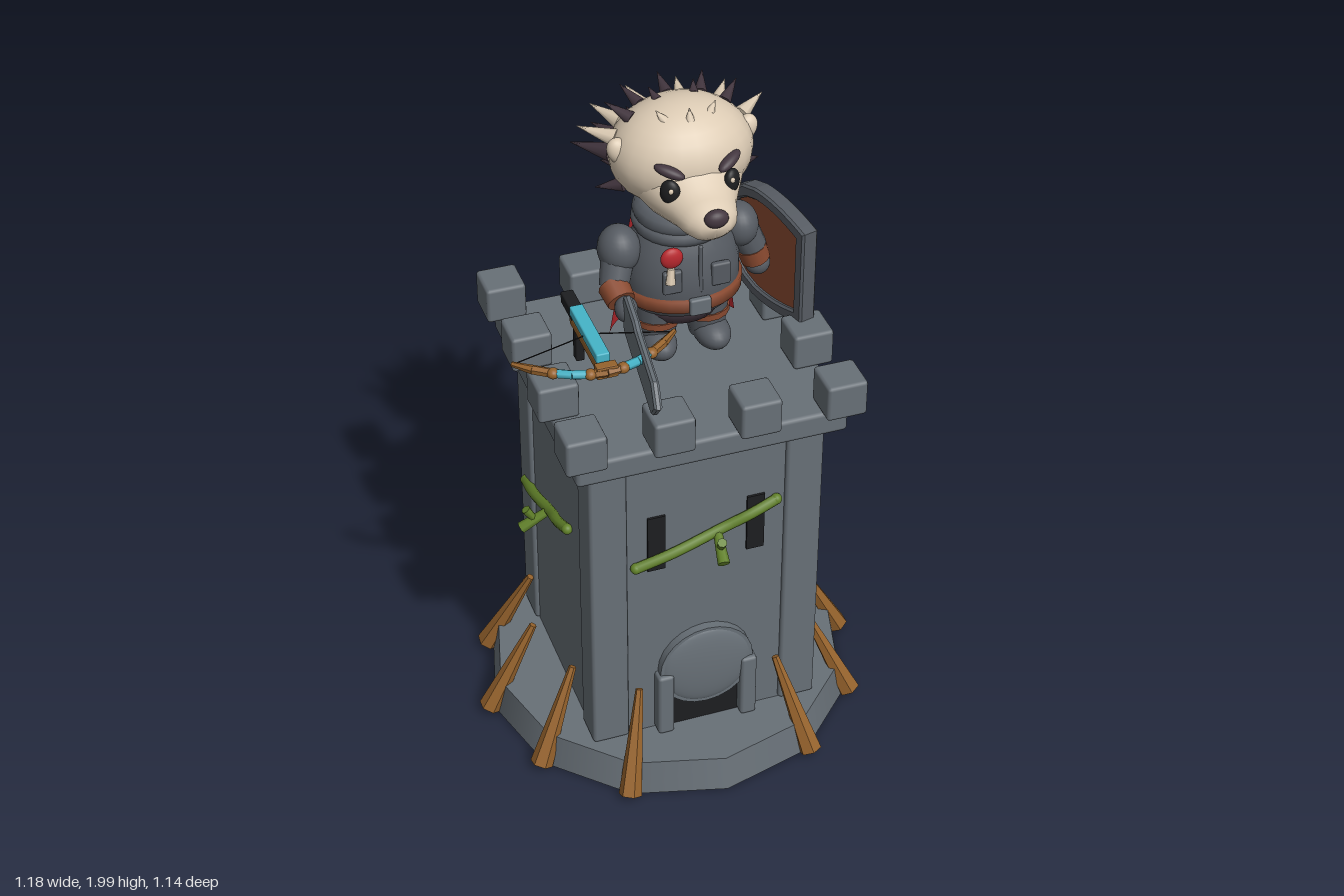
import * as THREE from 'three';
import { RoundedBoxGeometry } from 'three/addons/geometries/RoundedBoxGeometry.js';

const mat = (name, color, extra = {}) => {
  const m = new THREE.MeshStandardMaterial({ color, ...extra });
  m.name = name;
  return m;
};
const V = (x, y, z) => new THREE.Vector3(x, y, z);

export function createModel() {
  const model = new THREE.Group();
  model.name = 'towerGuard';
  const stone = mat('stone', 0x687077);
  const armor = mat('armor', 0x565b62);
  const wood = mat('wood', 0x95622c, { flatShading: true });
  const leather = mat('leather', 0x8a4a30);
  const vine = mat('vine', 0x62822a);
  const cream = mat('cream', 0xdccbb4);
  const plum = mat('plum', 0x43363f);
  const red = mat('red', 0xb8282e, { side: THREE.DoubleSide });
  const black = mat('black', 0x1d1e20);
  const cyan = mat('cyan', 0x45b4c8);

  // helpers
  const add = (name, geo, material, x = 0, y = 0, z = 0, parent = model) => {
    const m = new THREE.Mesh(geo, material);
    m.name = name;
    m.position.set(x, y, z);
    parent.add(m);
    return m;
  };
  const box = (name, w, h, d, material, x, y, z, parent, r = 0.01) =>
    add(name, r ? new RoundedBoxGeometry(w, h, d, 1, r) : new THREE.BoxGeometry(w, h, d), material, x, y, z, parent);
  const beam = (name, a, b, ra, rb, material, sides = 8, parent = model) => {
    const d = b.clone().sub(a);
    const m = add(name, new THREE.CylinderGeometry(rb, ra, d.length(), sides), material, 0, 0, 0, parent);
    m.position.copy(a).addScaledVector(d, 0.5);
    m.quaternion.setFromUnitVectors(V(0, 1, 0), d.normalize());
    return m;
  };
  const ball = (name, rx, ry, rz, material, x, y, z, parent) => {
    const m = add(name, new THREE.SphereGeometry(1, 24, 16), material, x, y, z, parent);
    m.scale.set(rx, ry, rz);
    return m;
  };
  const group = (name, x = 0, y = 0, z = 0, ry = 0) => {
    const g = new THREE.Group();
    g.name = name;
    g.position.set(x, y, z);
    g.rotation.y = ry;
    model.add(g);
    return g;
  };

  // tower
  const tower = group('tower', -0.003, 0, 0.026);
  add('base', new THREE.CylinderGeometry(0.525, 0.545, 0.105, 12), stone, 0, 0.0525, 0, tower);
  box('wall', 0.66, 1.04, 0.66, stone, 0, 0.61, 0, tower, 0);
  for (const sx of [-1, 1]) for (const sz of [-1, 1])
    box('cornerPillar', 0.11, 1.02, 0.11, stone, sx * 0.288, 0.615, sz * 0.288, tower);
  box('roofSlab', 0.78, 0.075, 0.78, stone, 0, 1.15, 0, tower, 0.012);
  const steps = [-0.37, -0.123, 0.123, 0.37];
  for (const x of steps) for (const z of steps)
    if (Math.abs(x) > 0.3 || Math.abs(z) > 0.3)
      box('merlon', 0.117, 0.11, 0.117, stone, x, 1.242, z, tower);

  // doorway and windows
  const arch = add('doorArch', new THREE.CylinderGeometry(0.142, 0.142, 0.03, 24), stone, 0, 0.325, 0.34, tower);
  arch.rotation.x = Math.PI / 2;
  ball('archDome', 0.135, 0.135, 0.022, stone, 0, 0.325, 0.35, tower);
  box('doorOpening', 0.21, 0.2, 0.008, black, 0, 0.205, 0.333, tower, 0);
  for (const s of [-1, 1]) {
    box('doorJamb', 0.05, 0.22, 0.05, stone, s * 0.127, 0.213, 0.345, tower);
    box('window', 0.052, 0.19, 0.008, black, s * 0.147, 0.81, 0.333, tower, 0);
  }

  // sharpened stakes leaning on the base, leaving the door free
  for (let i = 1; i < 12; i++) {
    const a = (i * Math.PI) / 6, p = (r, y) => V(Math.sin(a) * r, y, Math.cos(a) * r);
    beam('stake', p(0.562, 0.014), p(0.418, 0.3), 0.034, 0.011, wood, 6, tower);
  }

  // climbing vines, one helper per wall face
  const addVine = (ry, x, y) => {
    const g = group('vine', -0.003, 0, 0.026, ry);
    const path = new THREE.CatmullRomCurve3([V(x - 0.21, y - 0.07, 0.342), V(x - 0.1, y - 0.035, 0.35),
      V(x + 0.05, y + 0.01, 0.342), V(x + 0.13, y + 0.045, 0.35), V(x + 0.205, y + 0.07, 0.342)]);
    add('vineStem', new THREE.TubeGeometry(path, 16, 0.016, 7), vine, 0, 0, 0, g);
    for (const t of [0, 1]) ball('vineEnd', 0.016, 0.016, 0.016, vine, ...path.getPoint(t).toArray(), g);
    beam('vineTwig', V(x + 0.03, y, 0.345), V(x + 0.02, y - 0.05, 0.425), 0.013, 0.018, vine, 7, g);
    beam('vineBud', V(x + 0.025, y - 0.025, 0.385), V(x + 0.02, y + 0.015, 0.41), 0.01, 0.014, vine, 7, g);
  };
  addVine(0, 0, 0.812);
  addVine(Math.PI / 2, 0, 0.99);
  addVine(Math.PI / 2, 0, 0.262);
  addVine(Math.PI, 0.04, 0.445);
  addVine(-Math.PI / 2, -0.08, 0.68);

  // animal guard: legs and torso
  const body = group('guard', 0.057, 0, -0.03);
  for (const s of [-1, 1]) {
    beam('leg', V(s * 0.07, 1.37, 0), V(s * 0.075, 1.22, 0.01), 0.075, 0.05, armor, 14, body);
    beam('kneeStrap', V(s * 0.073, 1.305, 0.005), V(s * 0.074, 1.285, 0.006), 0.068, 0.066, leather, 14, body);
    ball('boot', 0.052, 0.045, 0.078, armor, s * 0.08, 1.232, 0.035, body);
  }
  const lathe = (name, pts, material, sz) => {
    const m = add(name, new THREE.LatheGeometry(pts.map(p => new THREE.Vector2(...p)), 28), material, 0, 0, 0, body);
    m.scale.z = sz;
    return m;
  };
  lathe('torso', [[0, 1.34], [0.1, 1.34], [0.15, 1.365], [0.165, 1.42], [0.164, 1.48], [0.148, 1.55], [0.115, 1.61], [0.08, 1.65], [0, 1.65]], armor, 0.85);
  lathe('trousers', [[0, 1.3], [0.1, 1.31], [0.135, 1.36], [0.1, 1.38]], plum, 0.85);
  lathe('belt', [[0.15, 1.385], [0.172, 1.388], [0.174, 1.425], [0.15, 1.43]], leather, 0.86);
  box('buckle', 0.062, 0.052, 0.02, stone, 0.005, 1.407, 0.147, body, 0.006);
  const collars = [[0.1, 0.034, 1.645], [0.112, 0.026, 1.612]];
  for (const [r, t, y] of collars) {
    const c = add('collar', new THREE.TorusGeometry(r, t, 10, 28), armor, 0, y, -0.005, body);
    c.rotation.x = Math.PI / 2 + 0.12;
    c.scale.y = 0.9;
  }
  for (const s of [-1, 1]) box('pocket', 0.055, 0.07, 0.02, armor, s * 0.07, 1.49, 0.128, body, 0.006);
  box('jacketSeam', 0.012, 0.15, 0.012, armor, 0.01, 1.52, 0.134, body, 0.004);
  ball('badge', 0.032, 0.032, 0.016, red, -0.07, 1.566, 0.125, body);
  beam('badgeTassel', V(-0.075, 1.54, 0.135), V(-0.08, 1.495, 0.142), 0.011, 0.015, cream, 6, body);
  const cape = add('cape', new THREE.CylinderGeometry(0.14, 0.205, 0.41, 24, 6, true, Math.PI - 1.15, 2.3), red, 0, 1.415, 0.005, body);
  cape.scale.z = 0.88;

  // arms
  ball('rightShoulder', 0.06, 0.07, 0.065, armor, -0.125, 1.55, -0.02);
  beam('rightUpperArm', V(-0.125, 1.55, -0.02), V(-0.155, 1.46, 0.025), 0.05, 0.042, armor, 12);
  beam('rightCuff', V(-0.157, 1.465, 0.025), V(-0.15, 1.442, 0.075), 0.044, 0.04, leather, 12);
  ball('rightHand', 0.032, 0.038, 0.036, armor, -0.145, 1.433, 0.1);
  ball('leftShoulder', 0.055, 0.065, 0.065, armor, 0.225, 1.55, -0.03);
  beam('leftUpperArm', V(0.225, 1.55, -0.03), V(0.265, 1.47, -0.02), 0.05, 0.042, armor, 12);
  beam('leftCuff', V(0.26, 1.475, -0.02), V(0.275, 1.43, -0.02), 0.044, 0.042, leather, 12);
  ball('leftHand', 0.036, 0.036, 0.036, armor, 0.28, 1.415, -0.02);

  // broad sword
  const sword = group('sword', -0.145, 1.435, 0.1, -1.712);
  const blade = new THREE.Shape([[0.01, -0.05], [0.03, -0.062], [0.15, -0.065], [0.185, -0.053], [0.41, -0.053], [0.462, 0.002],
    [0.41, 0.055], [0.185, 0.055], [0.15, 0.064], [0.03, 0.062], [0.01, 0.05]].map(p => new THREE.Vector2(...p)));
  add('blade', new THREE.ExtrudeGeometry(blade, { depth: 0.01, bevelSize: 0.006, bevelThickness: 0.006, bevelOffset: -0.006, bevelSegments: 1 }), stone, 0, 0, -0.005, sword);
  beam('hilt', V(-0.06, 0, 0), V(0.02, 0, 0), 0.014, 0.014, leather, 8, sword);

  // crossbow with curved limbs
  const bow = group('crossbow', -0.297, 1.47, 0);
  box('rail', 0.038, 0.03, 0.235, cyan, 0, 0.02, 0.25, bow, 0.004);
  box('stock', 0.036, 0.035, 0.1, black, 0, 0.01, 0.1, bow, 0.004);
  box('underStock', 0.034, 0.03, 0.25, wood, 0, -0.012, 0.25, bow, 0.004);
  box('bowMount', 0.06, 0.036, 0.03, wood, 0, 0, 0.39, bow, 0.004);
  box('grip', 0.024, 0.1, 0.03, black, 0, -0.08, 0.15, bow, 0.004);
  const limb = new THREE.QuadraticBezierCurve3(V(-0.225, 0, 0.285), V(0, 0, 0.515), V(0.225, 0, 0.285)).getPoints(10);
  for (let i = 0; i < 10; i++)
    beam('limb', limb[i], limb[i + 1], i ? 0.013 : 0.007, i < 9 ? 0.013 : 0.007, '1100110011'[i] === '1' ? wood : cyan, 6, bow);
  for (const i of [2, 4, 6, 8]) ball('limbJoint', 0.017, 0.015, 0.017, wood, ...limb[i].toArray(), bow);
  for (const s of [-1, 1]) beam('string', V(s * 0.22, 0, 0.287), V(0, 0.02, 0.25), 0.002, 0.002, black, 4, bow);

  // shield, flat at the front edge and rounded behind
  const shield = group('shield', 0.325, 1.437, -0.05, 1.83);
  const outline = k => {
    const s = new THREE.Shape();
    s.moveTo(-0.19 * k, -0.15 * k);
    s.quadraticCurveTo(-0.06 * k, -0.19 * k, 0.04 * k, -0.178 * k);
    s.bezierCurveTo(0.25 * k, -0.15 * k, 0.25 * k, 0.15 * k, 0.04 * k, 0.178 * k);
    s.quadraticCurveTo(-0.06 * k, 0.19 * k, -0.19 * k, 0.15 * k);
    s.closePath();
    return s;
  };
  const rim = outline(1);
  rim.holes.push(outline(0.8));
  add('shieldRim', new THREE.ExtrudeGeometry(rim, { depth: 0.04, bevelSize: 0.006, bevelThickness: 0.006, bevelOffset: -0.006, bevelSegments: 1, curveSegments: 10 }), armor, 0, 0, -0.02, shield);
  add('shieldPanel', new THREE.ExtrudeGeometry(outline(0.84), { depth: 0.025, bevelEnabled: false, curveSegments: 10 }), leather, 0, 0, -0.014, shield);
  box('shieldBarUpright', 0.05, 0.34, 0.03, armor, 0, 0, 0.013, shield, 0.006);
  box('shieldBarAcross', 0.36, 0.05, 0.03, armor, 0, 0, 0.013, shield, 0.006);
  ball('shieldBoss', 0.045, 0.045, 0.03, stone, 0, 0, 0.025, shield);
  for (const [x, y] of [[0, 0], [0, 0.1], [0, -0.1], [0.1, 0], [-0.1, 0], [0.13, 0.12], [0.13, -0.12]])
    beam('shieldSpike', V(x, y, 0.015), V(x, y, x || y ? 0.065 : 0.085), 0.018, 0.001, armor, 8, shield);

  // head: skull and snout that sinks towards the nose
  const head = group('head', 0.057, 1.825, -0.035);
  ball('skull', 0.2, 0.152, 0.165, cream, 0, 0, 0, head);
  const snout = new THREE.LatheGeometry([[0.165, 0], [0.162, 0.05], [0.142, 0.1], [0.115, 0.145], [0.09, 0.19], [0.08, 0.225],
    [0.068, 0.255], [0.042, 0.278], [0, 0.285]].map(p => new THREE.Vector2(...p)), 28);
  snout.rotateX(Math.PI / 2);
  const pos = snout.attributes.position;
  for (let i = 0; i < pos.count; i++) {
    const z = pos.getZ(i);
    pos.setY(i, pos.getY(i) * (0.86 - z * 0.5) - 0.085 * THREE.MathUtils.smoothstep(z, -0.06, 0.24));
  }
  snout.computeVertexNormals();
  add('snout', snout, cream, 0, 0, 0, head);
  ball('nose', 0.034, 0.026, 0.022, plum, 0.003, -0.058, 0.273, head);
  for (const s of [-1, 1]) {
    const eye = ball('eye', 0.028, 0.037, 0.018, black, s * 0.086, -0.025, 0.162, head);
    eye.rotation.y = s * 0.6;
    ball('eyeGlint', 0.007, 0.008, 0.005, cream, s * 0.086 - 0.004, -0.012, 0.18, head);
    const brow = ball('brow', 0.044, 0.015, 0.018, plum, s * 0.084, 0.03, 0.15, head);
    brow.rotation.set(0, s * 0.6, s * 0.28);
    const ear = ball('ear', 0.032, 0.042, 0.025, cream, s * 0.178, 0.035, 0.015, head);
    ear.rotation.z = -s * 0.5;
  }

  // quill rows: height angle, angles round from the back, length, radius
  const rows = [
    [62, [135, 180, 225], 0.035, 0.014, cream],
    [68, [-45, 45], 0.045, 0.015, plum],
    [46, [-78, -40, 0, 40, 78], 0.085, 0.02, plum],
    [22, [-82, -50, -17, 17, 50, 82], 0.11, 0.025, cream],
    [-6, [-66, -40, -13, 13, 40, 66], 0.125, 0.028, plum],
    [-30, [-95, -55, -20, 20, 55, 95], 0.08, 0.022, plum],
  ];
  for (const [el, turns, len, r, m] of rows) for (const turn of turns) {
    const e = THREE.MathUtils.degToRad(el), t = THREE.MathUtils.degToRad(turn);
    const n = V(Math.sin(t) * Math.cos(e), Math.sin(e), -Math.cos(t) * Math.cos(e));
    const root = n.clone().multiply(V(0.192, 0.144, 0.157));
    const dir = V(n.x, n.y * 0.5, n.z - 0.55).normalize();
    beam('quill', root, root.clone().addScaledVector(dir, len), r, 0.001, m, 8, head);
  }
  return model;
}
